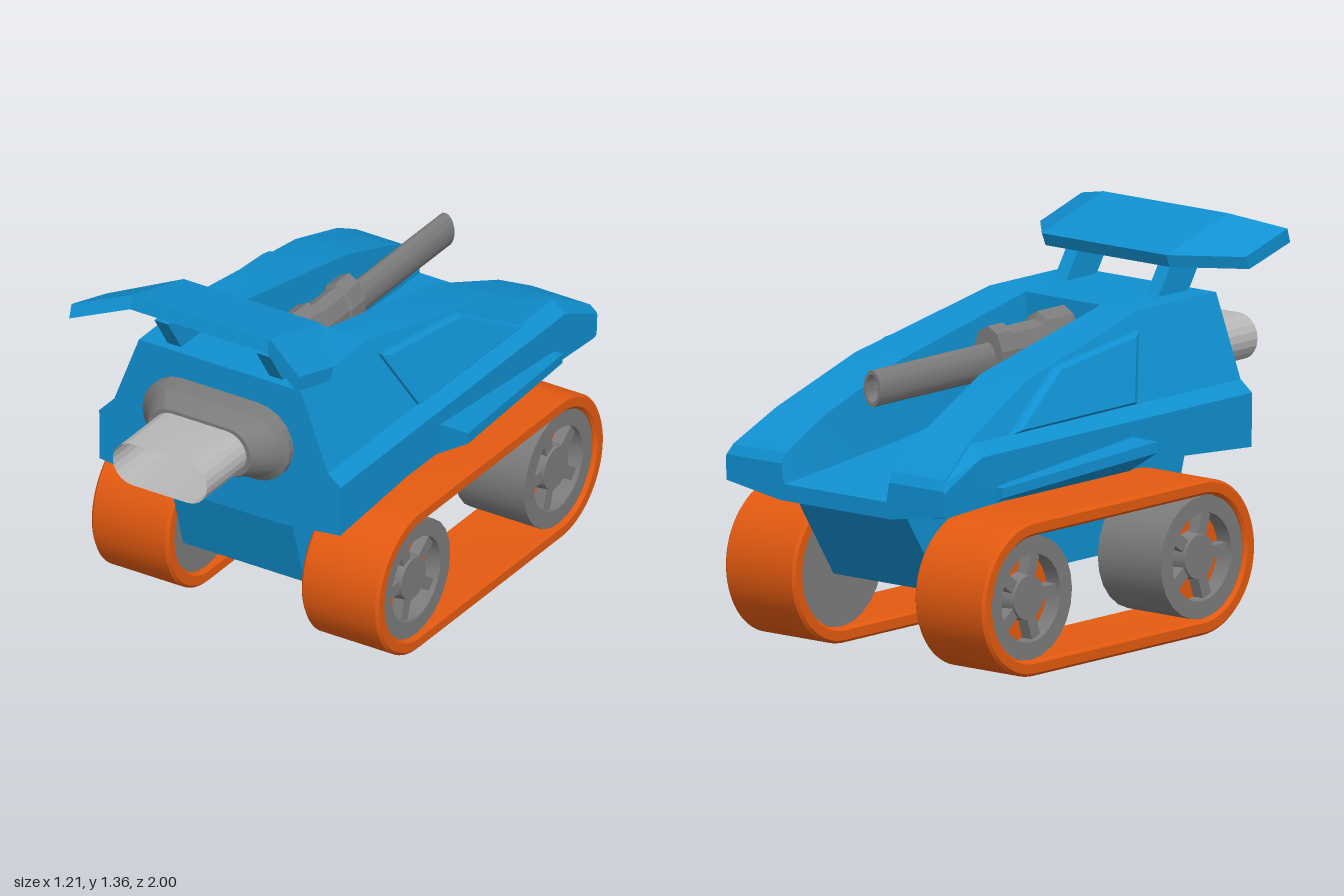
import * as THREE from 'three';
import { toCreasedNormals } from 'three/addons/utils/BufferGeometryUtils.js';

const paint = (name, color, side = THREE.FrontSide) => {
  const m = new THREE.MeshStandardMaterial({ color, side });
  m.name = name;
  return m;
};

// Skin matching rings of [x, y, z] points; axes (u, v) are the plane used to fill the end caps.
function loft(rings, { u = 0, v = 1, caps = true, crease = 0.3 } = {}) {
  const tris = [];
  const n = rings[0].length;
  for (let i = 0; i < rings.length - 1; i++) {
    for (let j = 0; j < n; j++) {
      const k = (j + 1) % n;
      const [a, b, c, d] = [rings[i][j], rings[i][k], rings[i + 1][k], rings[i + 1][j]];
      tris.push([a, b, c], [a, c, d]);
    }
  }
  const area = (p) => p.reduce((s, a, i) => {
    const b = p[(i + 1) % p.length];
    return s + a[u] * b[v] - b[u] * a[v];
  }, 0);
  const cap = (ring, flip) => {
    const outline = ring.map((p) => new THREE.Vector2(p[u], p[v]));
    for (const f of THREE.ShapeUtils.triangulateShape(outline, [])) {
      const t = f.map((i) => ring[i]);
      if ((area(t) * area(ring) < 0) !== flip) t.reverse();
      tris.push(t);
    }
  };
  if (caps) {
    cap(rings[0], true);
    cap(rings[rings.length - 1], false);
  }
  // Turn the faces outward
  const volume = tris.reduce((s, [a, b, c]) => s
    + a[0] * (b[1] * c[2] - b[2] * c[1])
    + a[1] * (b[2] * c[0] - b[0] * c[2])
    + a[2] * (b[0] * c[1] - b[1] * c[0]), 0);
  if (volume < 0) tris.forEach((t) => t.reverse());
  const g = new THREE.BufferGeometry();
  g.setAttribute('position', new THREE.Float32BufferAttribute(tris.flat(2), 3));
  return toCreasedNormals(g, crease);
}

// Rounded slot outline in the xy plane at depth z
function slot(hw, hh, z, cy = 0.867, steps = 10) {
  const pts = [];
  for (const s of [1, -1]) {
    for (let i = 0; i <= steps; i++) {
      const a = -Math.PI / 2 + (Math.PI * i) / steps;
      pts.push([s * (hw - hh + hh * Math.cos(a)), cy + s * hh * Math.sin(a), z]);
    }
  }
  return pts;
}

// Body cross-section: sides share one sloping plane, trench is sunk in the top
const sideX = (y) => 0.33 + (1.11 - y) * 0.38;
function bodySection([z, top, low, lip, floorW, floor]) {
  const crease = Math.min(0.82, top - 0.01);
  const waist = Math.min(0.78, crease - 0.02);
  const half = [
    [floorW, floor], [lip, top], [sideX(top), top], [sideX(crease), crease],
    [0.492, waist], [0.49, low], [0.25, 0.562],
  ];
  const other = half.map(([x, y]) => [-x, y]).reverse();
  return [...half, ...other].map(([x, y]) => [x, y, z]);
}

// Track-shaped loop in the side plane (shape x runs toward the nose)
function loop(path, r) {
  path.absarc(0.63, 0.272, r, -Math.PI / 2, Math.PI / 2, false);
  path.absarc(-0.26, 0.272, r, Math.PI / 2, Math.PI * 1.5, false);
  path.closePath();
  return path;
}

export function createModel() {
  const model = new THREE.Group();
  model.name = 'trackedVehicle';
  const blue = paint('blue paint', 0x1090d0);
  const orange = paint('orange track', 0xe45a10);
  const grey = paint('grey metal', 0x7c7c7c);
  const steel = paint('light steel', 0xb8b8b8, THREE.DoubleSide);
  const black = paint('black opening', 0x0c0c0c);
  const add = (name, geometry, material, parent = model) => {
    const mesh = new THREE.Mesh(geometry, material);
    mesh.name = name;
    parent.add(mesh);
    return mesh;
  };

  // Upper body: z, top, lower edge, trench lip, trench floor width and height
  add('upperBody', loft([
    [0.62, 1.11, 0.59, 0.16, 0.15, 1.11],
    [0.2, 1.11, 0.62, 0.16, 0.15, 1.11],
    [0.2, 1.11, 0.62, 0.17, 0.15, 0.8],
    [-0.45, 0.972, 0.615, 0.18, 0.165, 0.7],
    [-0.8, 0.83, 0.605, 0.22, 0.205, 0.648],
    [-0.98, 0.725, 0.595, 0.24, 0.228, 0.622],
    [-1, 0.69, 0.6, 0.243, 0.23, 0.62],
  ].map(bodySection)), blue);

  // Lower hull, tapering downward at both ends
  add('lowerHull', loft([-0.247, 0.247].map((x) => [
    [x, 0.57, 0.56], [x, 0.26, 0.47], [x, 0.26, -0.72], [x, 0.57, -0.925],
  ]), { u: 2 }), blue);

  // Exhaust collar, pipe and dark opening
  add('exhaustCollar', loft([
    slot(0.3, 0.145, 0.61), slot(0.3, 0.145, 0.645), slot(0.275, 0.12, 0.665), slot(0.21, 0.093, 0.75),
  ]), grey);
  add('exhaustPipe', loft([slot(0.192, 0.081, 0.74), slot(0.192, 0.081, 1)], { caps: false }), steel);
  add('exhaustOpening', loft([slot(0.188, 0.077, 0.75), slot(0.188, 0.077, 0.756)]), black);

  // Cannon lying in the trench, taller than wide
  const cannon = new THREE.Group();
  cannon.name = 'cannon';
  cannon.position.set(-0.003, 0.955, 0.2);
  cannon.rotation.x = -Math.PI / 2;
  cannon.scale.set(1, 1, 1.75);
  model.add(cannon);
  const turned = (pts, sides, crease) => toCreasedNormals(
    new THREE.LatheGeometry(pts.map(([r, y]) => new THREE.Vector2(r, y)), sides), crease);
  add('cannonBase', turned([
    [0, 0], [0.076, 0], [0.076, 0.14], [0.062, 0.15], [0.062, 0.31], [0.07, 0.32], [0.07, 0.4], [0, 0.4],
  ], 10, 0.3), grey, cannon);
  add('cannonBarrel', turned([
    [0.037, 0.38], [0.037, 1.01], [0.028, 1.01], [0.028, 0.85], [0, 0.85],
  ], 20, 0.6), grey, cannon);

  // Rear spoiler with dropped, swept-back tips
  const wing = ([x, zLead, yLead, zTrail, yTrail]) => [
    [x, yLead, zLead], [x, yTrail, zTrail], [x, yTrail - 0.05, zTrail + 0.015], [x, yLead - 0.045, zLead + 0.02],
  ];
  add('spoiler', loft([
    [-0.463, 0.62, 1.25, 0.84, 1.315], [-0.28, 0.415, 1.265, 0.74, 1.36],
    [0.28, 0.415, 1.265, 0.74, 1.36], [0.463, 0.62, 1.25, 0.84, 1.315],
  ].map(wing), { u: 2, crease: 0.1 }), blue);

  const trackShape = loop(new THREE.Shape(), 0.262);
  trackShape.holes.push(loop(new THREE.Path(), 0.228));

  for (const s of [1, -1]) {
    const side = new THREE.Group();
    side.name = s > 0 ? 'leftSide' : 'rightSide';
    model.add(side);

    // Spoiler strut
    add('spoilerStrut', loft([0.18, 0.235].map((x) => [
      [s * x, 1.1, 0.58], [s * x, 1.24, 0.67], [s * x, 1.24, 0.51], [s * x, 1.1, 0.42],
    ]), { u: 2 }), blue, side);

    // Raised side armour with bevelled rim
    const quad = [[1.05, 0.17], [0.825, 0.06], [0.822, -0.6], [1.0, -0.29]];
    const armour = [[1, -0.03], [1, 0.015], [0.9, 0.027]].map(([k, out]) => quad.map(([y, z]) => {
      const py = 0.92 + (y - 0.92) * k;
      return [s * (sideX(py) + out), py, -0.15 + (z + 0.15) * k];
    }));
    add('sideArmour', loft(armour, { u: 2, crease: 0.1 }), blue, side);

    // Tapered side fin
    add('sideFin', loft([
      [[0.46, 0.725], [0.605, 0.725], [0.605, 0.685], [0.48, 0.605]].map(([x, y]) => [s * x, y, -0.01]),
      [[0.46, 0.665], [0.525, 0.665], [0.525, 0.63], [0.48, 0.605]].map(([x, y]) => [s * x, y, -0.73]),
    ]), blue, side);

    // Track belt
    const belt = new THREE.ExtrudeGeometry(trackShape, {
      depth: 0.295, bevelEnabled: true, bevelSize: 0.01, bevelThickness: 0.01, bevelSegments: 1, curveSegments: 24,
    });
    belt.rotateY(Math.PI / 2);
    add('track', toCreasedNormals(belt, 0.4), orange, side).position.x = s > 0 ? 0.28 : -0.575;

    // Wheels: hollow rim, orange backing, hub and five spokes
    for (const z of [0.265, -0.635]) {
      const wheel = new THREE.Group();
      wheel.name = z > 0 ? 'frontWheel' : 'rearWheel';
      wheel.position.set(s * 0.285, 0.272, z);
      wheel.rotation.z = (-s * Math.PI) / 2;
      side.add(wheel);
      add('wheelRim', turned([
        [0, 0], [0.216, 0], [0.216, 0.285], [0.155, 0.285], [0.155, 0.215], [0, 0.215],
      ], 24, 0.5), grey, wheel);
      add('wheelBacking', new THREE.CylinderGeometry(0.155, 0.155, 0.008, 24), orange, wheel).position.y = 0.218;
      add('wheelHub', new THREE.CylinderGeometry(0.078, 0.085, 0.06, 20), grey, wheel).position.y = 0.245;
      for (let i = 0; i < 5; i++) {
        const a = (i / 5) * Math.PI * 2 + 0.3;
        const spoke = add('wheelSpoke', new THREE.BoxGeometry(0.1, 0.045, 0.045), grey, wheel);
        spoke.position.set(Math.cos(a) * 0.11, 0.243, Math.sin(a) * 0.11);
        spoke.rotation.y = -a;
      }
    }
  }
  return model;
}
